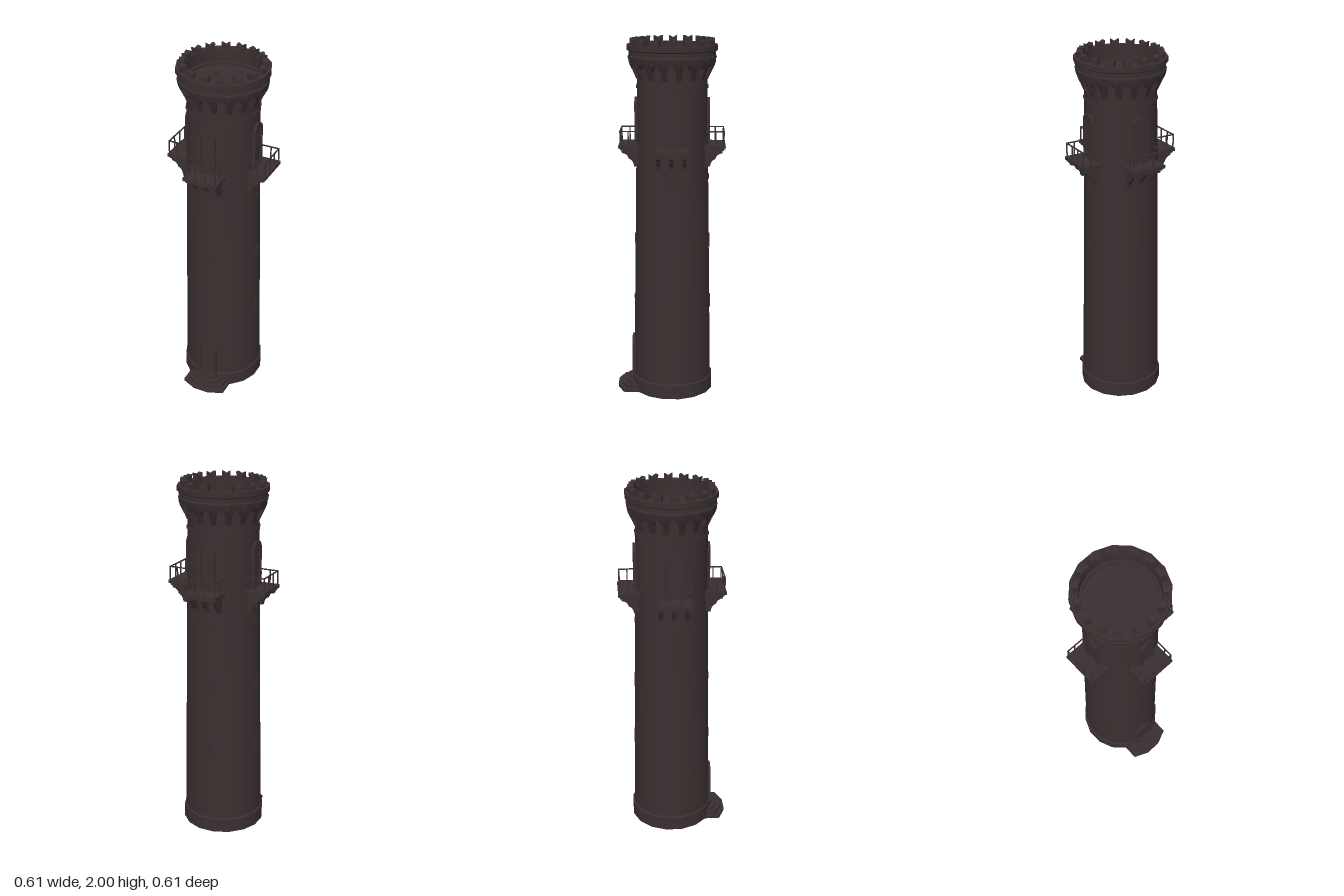
import * as THREE from 'three';
import { toCreasedNormals } from 'three/addons/utils/BufferGeometryUtils.js';

const SIDES = 16;
const HALF = Math.PI / SIDES;
const stone = new THREE.MeshStandardMaterial({ color: 0x3a2f30, side: THREE.DoubleSide });
stone.name = 'dark stone';

function add(parent, name, geometry, x = 0, y = 0, z = 0) {
  const mesh = new THREE.Mesh(toCreasedNormals(geometry, 0.6), stone);
  mesh.name = name;
  mesh.position.set(x, y, z);
  parent.add(mesh);
  return mesh;
}

const box = (parent, name, w, h, d, x, y, z) => add(parent, name, new THREE.BoxGeometry(w, h, d), x, y, z);

const extrude = (shape, depth) =>
  new THREE.ExtrudeGeometry(shape, { depth, bevelEnabled: false, curveSegments: 8 });

const polygon = (points) => new THREE.Shape(points.map(([x, y]) => new THREE.Vector2(x, y)));

// Sixteen-sided lathe with a flat side facing +z
function lathe(parent, name, points) {
  const profile = points.map(([r, y]) => new THREE.Vector2(r, y));
  return add(parent, name, new THREE.LatheGeometry(profile, SIDES, HALF));
}

// Distance from the axis to the middle of a flat side of the shaft
const wall = (y) => (0.222 - 0.0163 * (y - 0.08)) * Math.cos(HALF);

// Round-headed outline standing on y = 0
function arch(width, height, Type = THREE.Shape) {
  const r = width / 2;
  const s = new Type();
  s.moveTo(-r, 0);
  s.lineTo(r, 0);
  s.lineTo(r, height - r);
  s.absarc(0, height - r, r, 0, Math.PI, false);
  s.lineTo(-r, 0);
  return s;
}

// Framed, round-headed doorway on the wall
function doorway(parent, name, y, width, height) {
  const g = new THREE.Group();
  g.name = name;
  g.position.set(0, y, wall(y + height) - 0.012);
  const frame = arch(width, height);
  frame.holes.push(arch(width - 0.034, height - 0.017, THREE.Path));
  add(g, 'doorFrame', extrude(frame, 0.026));
  add(g, 'doorLeaf', extrude(arch(width - 0.034, height - 0.017), 0.017));
  box(g, 'doorPanel', (width - 0.034) * 0.6, height * 0.6, 0.006, 0, height * 0.4, 0.018);
  parent.add(g);
}

// Small rectangular opening with a thin surround
function slit(parent, y) {
  const s = polygon([[-0.016, -0.037], [0.016, -0.037], [0.016, 0.037], [-0.016, 0.037]]);
  s.holes.push(polygon([[-0.01, -0.031], [-0.01, 0.031], [0.01, 0.031], [0.01, -0.031]]));
  add(parent, 'slitFrame', extrude(s, 0.008), 0, y, wall(y) - 0.004);
}

// Balcony: slab, curved brackets and iron railing
function balcony(parent) {
  const g = new THREE.Group();
  g.name = 'balcony';
  const inner = 0.175, outer = 0.292, hw = 0.0985;
  const slab = (name, inset, y, h) => box(g, name, 2 * (hw - inset), h, outer - inset - inner,
    0, y, (inner + outer - inset) / 2);
  slab('lowerSlab', 0.01, 1.404, 0.012);
  slab('upperSlab', 0, 1.419, 0.018);

  const bracket = new THREE.Shape();
  bracket.moveTo(0.18, 1.31);
  bracket.lineTo(0.208, 1.31);
  bracket.quadraticCurveTo(0.212, 1.345, 0.236, 1.352);
  bracket.lineTo(0.24, 1.362);
  bracket.quadraticCurveTo(0.248, 1.38, 0.274, 1.384);
  bracket.lineTo(0.276, 1.4);
  bracket.lineTo(0.18, 1.4);
  for (const x of [-0.07, 0, 0.07]) {
    const geo = extrude(bracket, 0.022);
    geo.rotateY(-Math.PI / 2);
    add(g, 'bracket', geo, x + 0.011, 0, 0);
  }

  const rx = hw - 0.009, rz = outer - 0.009, t = 0.006;
  const post = (x, z) => box(g, 'railPost', t, 0.08, t, x, 1.465, z);
  for (let i = 0; i < 4; i++) post(-rx + (2 * rx * i) / 3, rz);
  for (const x of [-rx, rx]) {
    post(x, rz - 0.045);
    box(g, 'sideRail', t, t, rz - 0.185, x, 1.504, (rz + 0.185) / 2);
  }
  box(g, 'frontRail', 2 * rx + t, t, t, 0, 1.504, rz);
  parent.add(g);
}

// One flared bay of the gallery, with an arch open at the bottom
function galleryBay() {
  const y0 = 1.785, y1 = 1.9, spring = 1.835, a = 0.3;
  const rows = [1.8, 1.82];
  const s = new THREE.Shape();
  s.moveTo(-0.5, y0);
  s.lineTo(-a, y0);
  for (const y of rows) s.lineTo(-a, y);
  for (let i = 0; i <= 8; i++) {
    const t = Math.PI * (1 - i / 8);
    s.lineTo(a * Math.cos(t), spring + 0.03 * Math.sin(t));
  }
  for (const y of [...rows].reverse()) s.lineTo(a, y);
  s.lineTo(a, y0);
  s.lineTo(0.5, y0);
  for (const y of [1.8, 1.82, 1.84, 1.86, 1.88, y1]) s.lineTo(0.5, y);
  for (const y of [y1, 1.88, 1.86, 1.84, 1.82, 1.8]) s.lineTo(-0.5, y);
  const geo = extrude(s, 1);
  const p = geo.attributes.position;
  for (let i = 0; i < p.count; i++) {
    const k = THREE.MathUtils.smoothstep(p.getY(i), y0 - 0.01, 1.89);
    const r = p.getZ(i) > 0.5 ? 0.197 + 0.044 * k : 0.188;
    p.setX(i, p.getX(i) * 2 * r * Math.sin(HALF));
    p.setZ(i, r * Math.cos(HALF));
  }
  return geo;
}

export function createModel() {
  const model = new THREE.Group();
  model.name = 'tower';
  const tower = new THREE.Group();
  tower.name = 'towerBody';
  tower.rotation.y = THREE.MathUtils.degToRad(-28);
  model.add(tower);

  // Plinth, tapering shaft and string course; hollow and open below
  lathe(tower, 'shaft', [[0.23, 0], [0.23, 0.078], [0.222, 0.085], [0.195, 1.735],
    [0.2, 1.735], [0.2, 1.748], [0.194, 1.748], [0.194, 1.9]]);

  // Parapet wall and sunken roof deck
  lathe(tower, 'parapet', [[0.19, 1.9], [0.244, 1.9], [0.244, 1.907], [0.239, 1.91], [0.239, 1.934],
    [0.25, 1.94], [0.25, 1.967], [0.203, 1.967], [0.203, 1.885], [0, 1.885]]);

  // Arched gallery and notched merlons, one per side
  const bay = galleryBay();
  const merlon = polygon([[-0.021, 0], [0.021, 0], [0.023, 0.035], [0.012, 0.03], [0, 0.022],
    [-0.012, 0.03], [-0.023, 0.035]]);
  for (let i = 0; i < SIDES; i++) {
    const side = new THREE.Group();
    side.name = 'crownSide';
    side.rotation.y = i * 2 * HALF;
    add(side, 'galleryArch', bay);
    add(side, 'merlon', extrude(merlon, 0.03), 0, 1.965, 0.2);
    tower.add(side);
  }

  // Four matching faces with balcony, doorway, roundel and slits
  for (let i = 0; i < 4; i++) {
    const face = new THREE.Group();
    face.name = 'towerFace';
    face.rotation.y = (i * Math.PI) / 2;
    balcony(face);
    doorway(face, 'balconyDoor', 1.428, 0.094, 0.254);
    slit(face, 0.515);
    slit(face, 0.875);
    add(face, 'roundel', new THREE.TorusGeometry(0.014, 0.004, 6, 12), 0, 1.24, wall(1.24));
    tower.add(face);
  }

  // Entrance and its faceted steps
  doorway(tower, 'entrance', 0.055, 0.115, 0.255);
  for (let i = 0; i < 4; i++) {
    const w = 0.128 - 0.02 * i, d = 0.311 - 0.022 * i, c = 0.046 - 0.004 * i;
    const geo = extrude(polygon([[-w, -0.17], [w, -0.17], [w, -d + 0.036], [c, -d], [-c, -d], [-w, -d + 0.036]]
      .reverse()), 0.016);
    geo.rotateX(-Math.PI / 2);
    add(tower, 'step', geo, 0, i * 0.016, 0);
  }

  // Roof hatch with handle
  const hatch = new THREE.Group();
  hatch.name = 'roofHatch';
  hatch.position.set(-0.097, 1.888, -0.005);
  box(hatch, 'hatchLid', 0.08, 0.008, 0.165, 0, 0, 0);
  box(hatch, 'hatchHandle', 0.005, 0.006, 0.07, 0.028, 0.012, 0);
  tower.add(hatch);
  return model;
}
